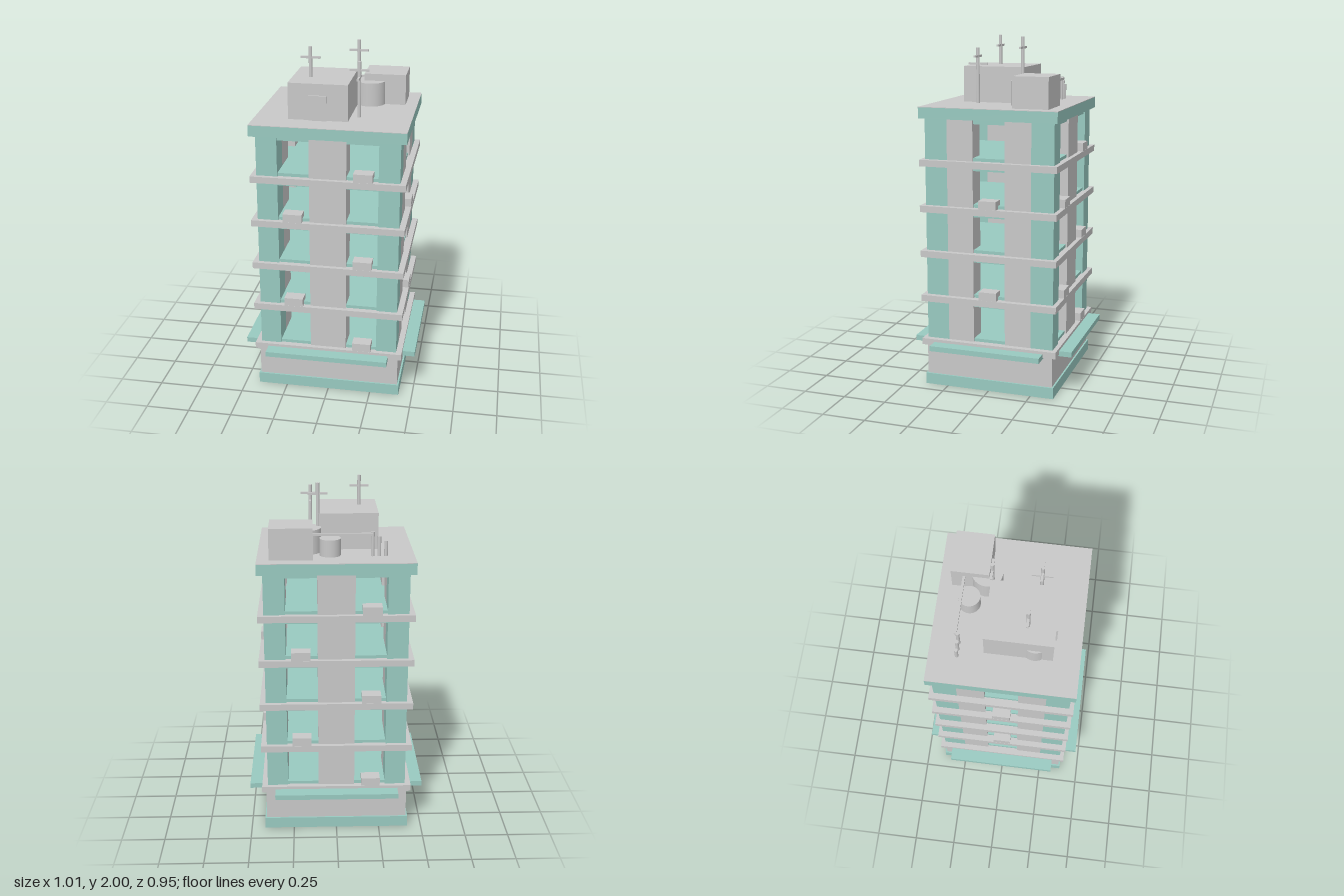
import * as THREE from 'three';

export function createModel() {
  const model = new THREE.Group();
  const teal = new THREE.MeshStandardMaterial({ color: 0x98c9c0 });
  teal.name = 'teal paint';
  const gray = new THREE.MeshStandardMaterial({ color: 0xc8c8c8 });
  gray.name = 'gray concrete';

  // Box given by its extents on each axis
  function box(name, mat, x0, x1, y0, y1, z0, z1) {
    const m = new THREE.Mesh(new THREE.BoxGeometry(x1 - x0, y1 - y0, z1 - z0), mat);
    m.position.set((x0 + x1) / 2, (y0 + y1) / 2, (z0 + z1) / 2);
    m.name = name;
    model.add(m);
  }
  // Upright cylinder from y0 to y1
  function post(name, x, z, r, y0, y1, sides = 12) {
    const m = new THREE.Mesh(new THREE.CylinderGeometry(r, r, y1 - y0, sides), gray);
    m.position.set(x, (y0 + y1) / 2, z);
    m.name = name;
    model.add(m);
  }

  const W = 0.40, D = 0.375; // tower half width and half depth
  const ROOF = 1.625;

  // Ground floor
  box('plinth', teal, -0.42, 0.42, 0, 0.065, -0.385, 0.385);
  box('groundFloor', gray, -0.41, 0.41, 0.065, 0.25, -D, D);

  // Canopies on all four sides
  for (const s of [-1, 1]) {
    const z = [s * 0.36, s * 0.473].sort((a, b) => a - b);
    const x = [s * 0.39, s * 0.505].sort((a, b) => a - b);
    box('canopy', teal, -0.355, 0.355, 0.235, 0.265, z[0], z[1]);
    box('sideCanopy', teal, x[0], x[1], 0.235, 0.265, -0.325, 0.325);
  }

  // Corner piers, side walls and central columns
  for (const s of [-1, 1]) {
    const x = s > 0 ? [0.282, W] : [-W, -0.282];
    for (const t of [-1, 1]) {
      const zc = t > 0 ? [0.245, D] : [-D, -0.245];
      const zw = t > 0 ? [0.093, 0.245] : [-0.245, -0.093];
      box('cornerPier', teal, x[0], x[1], 0.28, 1.57, zc[0], zc[1]);
      box('sideWall', gray, x[0], x[1], 0.28, 1.57, zw[0], zw[1]);
    }
    const z = s > 0 ? [0.245, D] : [-D, -0.245];
    box('centralColumn', gray, -0.104, 0.104, 0.28, 1.57, z[0], z[1]);
  }

  // Storeys: projecting slab, teal floor and ceiling, balcony boxes
  for (let i = 0; i < 5; i++) {
    const top = 0.281 + i * 0.262;
    box('floorSlab', gray, -0.433, 0.433, top - 0.037, top, -0.4, 0.4);
    box('floorFinish', teal, -0.39, 0.39, top - 0.005, top + 0.018, -0.365, 0.365);
    if (i > 0) box('ceiling', teal, -0.39, 0.39, top - 0.055, top - 0.03, -0.365, 0.365);
    const s = i % 2 ? -1 : 1;
    const h = top + 0.048;
    const x = s * 0.198;
    box('frontBalconyBox', gray, x - 0.054, x + 0.054, top - 0.01, h, 0.325, 0.399);
    box('backBalconyBox', gray, -x - 0.054, -x + 0.054, top - 0.01, h, -0.399, -0.325);
    if (i % 2) {
      box('leftBalconyBox', gray, 0.355, 0.432, top - 0.01, h, -0.051, 0.051);
      box('rightBalconyBox', gray, -0.432, -0.355, top - 0.01, h, -0.051, 0.051);
    }
  }

  // Roof
  box('topCeiling', teal, -0.39, 0.39, 1.535, 1.57, -0.365, 0.365);
  box('roofEdge', teal, -0.433, 0.433, 1.56, ROOF - 0.003, -0.4, 0.4);
  box('roofDeck', gray, -0.433, 0.433, ROOF - 0.003, ROOF, -0.4, 0.4);

  // Roof houses
  box('stairHouse', gray, -0.241, 0.092, ROOF, 1.83, -0.11, 0.255);
  box('stairDoor', gray, -0.125, -0.025, ROOF, 1.765, 0.25, 0.265);
  box('plantRoom', gray, 0.126, 0.365, ROOF, 1.8, -0.33, -0.125);

  // Tanks
  post('largeTank', 0.163, -0.14, 0.084, ROOF, 1.76, 32);
  post('smallTank', 0.031, -0.221, 0.059, ROOF, 1.72, 32);
  post('sideTank', -0.177, 0.155, 0.076, ROOF, 1.74, 32);

  // Vent pipes
  [[-0.274, 1.71], [-0.237, 1.735], [-0.201, 1.76]].forEach(([x, y]) =>
    post('ventPipe', x, -0.249, 0.01, ROOF, y));
  box('pipeRun', gray, -0.201, 0.13, 1.742, 1.756, -0.268, -0.254);

  // Antennas: mast and crossbars
  for (const [x, z, y0, y1, yBar] of [
    [-0.141, 0.11, 1.82, 2, 1.94],
    [0.097, -0.102, 1.75, 2, 1.94],
    [0.138, 0.152, ROOF, 1.938, 1.89],
  ]) {
    post('antennaMast', x, z, 0.01, y0, y1);
    box('antennaBar', gray, x - 0.055, x + 0.055, yBar - 0.006, yBar + 0.006, z - 0.006, z + 0.006);
  }
  box('antennaCrossBar', gray, 0.132, 0.144, 1.842, 1.854, 0.096, 0.208);

  return model;
}
